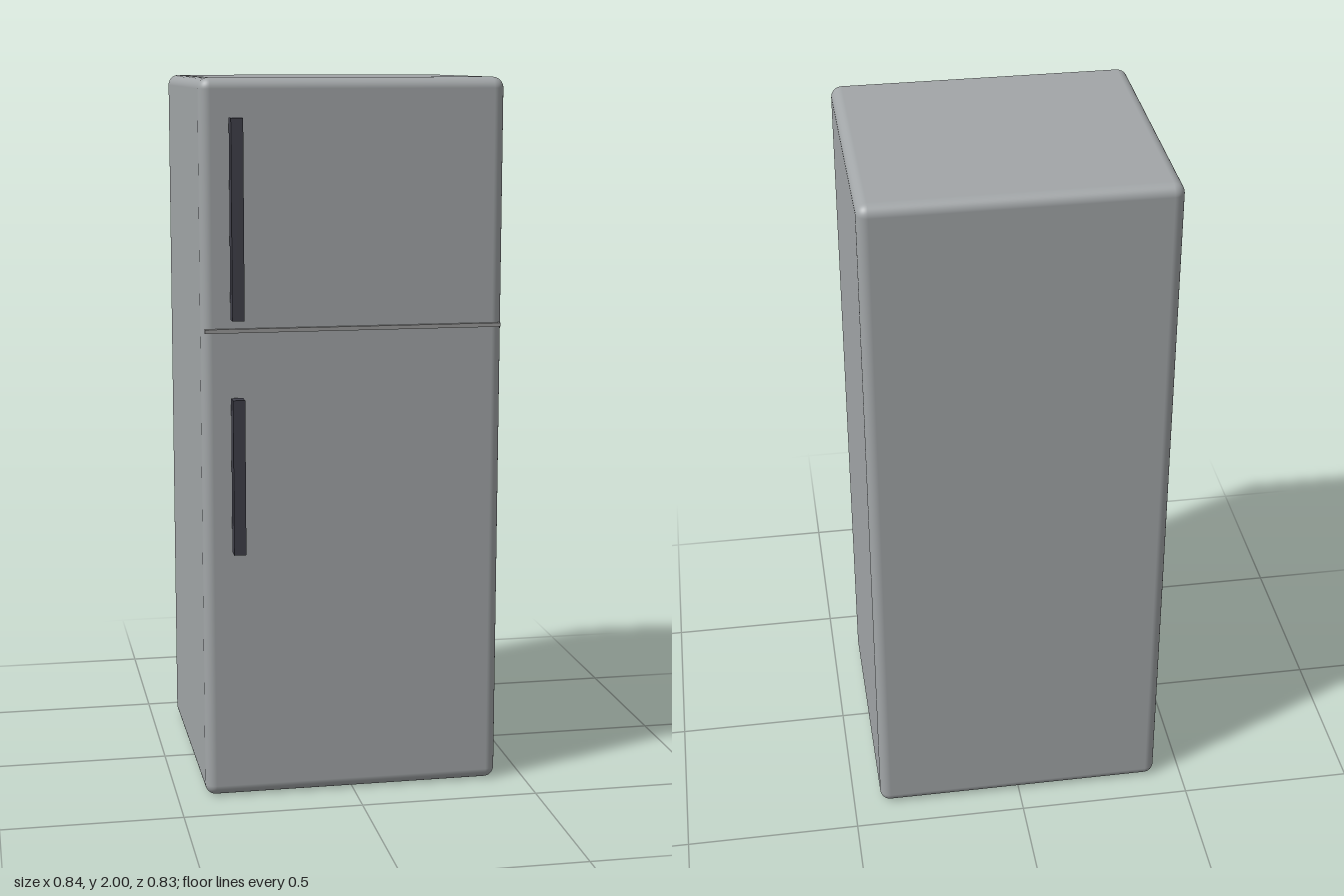
import * as THREE from 'three';
import { RoundedBoxGeometry } from 'three/addons/geometries/RoundedBoxGeometry.js';

export function createModel() {
  const model = new THREE.Group();
  model.name = 'refrigerator';

  const material = (name, color) => {
    const m = new THREE.MeshStandardMaterial({ color });
    m.name = name;
    return m;
  };
  const enamel = material('grey enamel', 0xa2a6a8);
  const trim = material('seam grey', 0x9c9c9c);
  const dark = material('dark handle', 0x40404a);

  const add = (name, geometry, mat, x, y, z) => {
    const mesh = new THREE.Mesh(geometry, mat);
    mesh.name = name;
    mesh.position.set(x, y, z);
    model.add(mesh);
  };

  // Cabinet with softly rounded edges
  add('cabinet', new RoundedBoxGeometry(0.84, 2, 0.777, 5, 0.03), enamel, 0, 1, -0.0275);

  // Raised seam between freezer and fridge doors
  add('doorSeam', new THREE.BoxGeometry(0.824, 0.011, 0.012), trim, 0, 1.323, 0.366);

  // Upright bar handles on the hinge-free side
  for (const [name, bottom, top] of [['freezerHandle', 1.355, 1.895], ['fridgeHandle', 0.71, 1.14]]) {
    add(name, new THREE.BoxGeometry(0.033, top - bottom, 0.041), dark, -0.326, (bottom + top) / 2, 0.3945);
  }

  return model;
}
